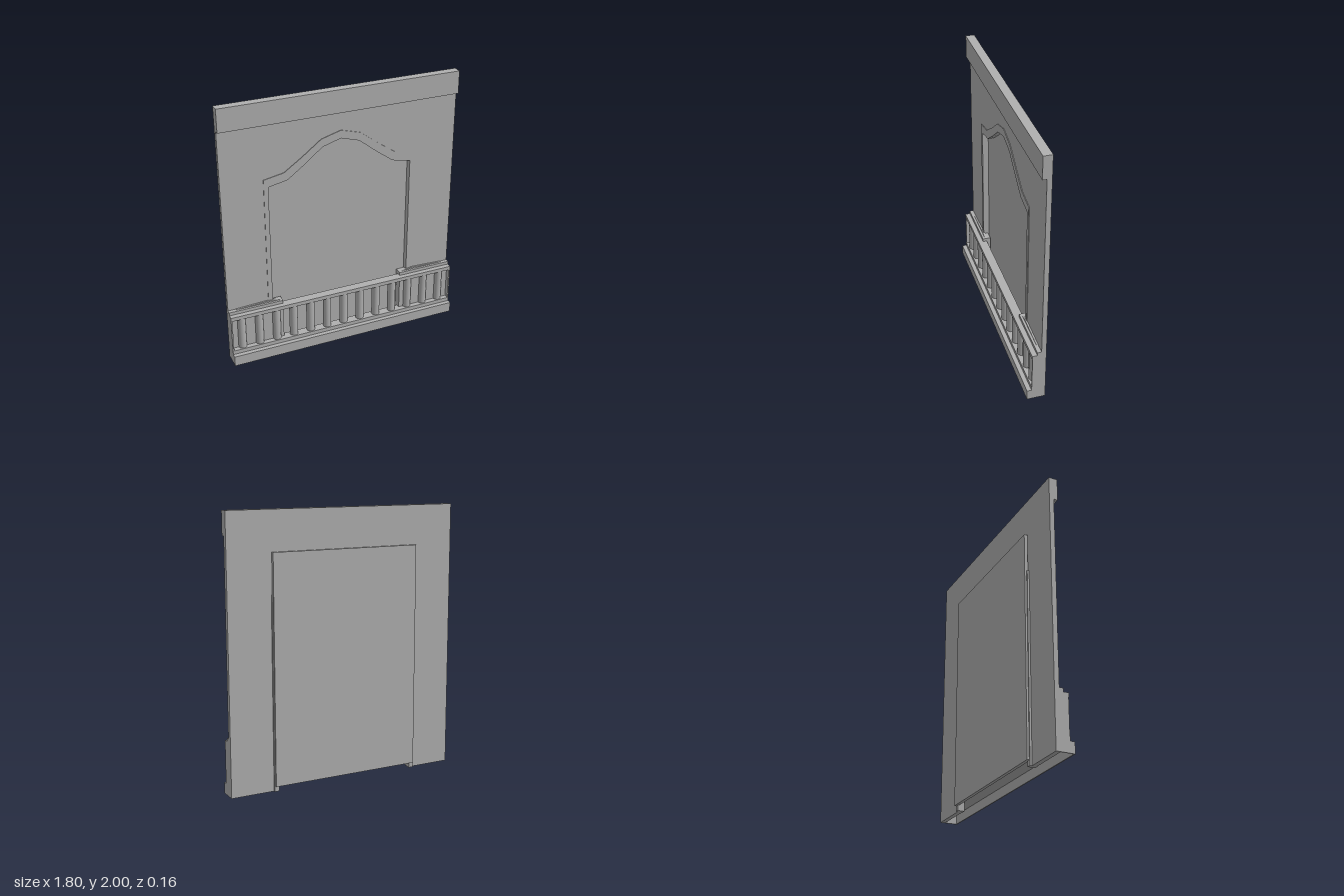
import * as THREE from 'three';

export function createModel() {
  const model = new THREE.Group();
  model.name = 'archedWallWithBalustrade';
  const stone = new THREE.MeshStandardMaterial({ color: 0xb0b0b0 });
  stone.name = 'light grey stone';

  function add(name, geometry) {
    const mesh = new THREE.Mesh(geometry, stone);
    mesh.name = name;
    model.add(mesh);
    return mesh;
  }
  // Box given by its limits on each axis
  function block(name, x0, x1, y0, y1, z0, z1) {
    add(name, new THREE.BoxGeometry(x1 - x0, y1 - y0, z1 - z0))
      .position.set((x0 + x1) / 2, (y0 + y1) / 2, (z0 + z1) / 2);
  }
  // Flat outline in x and y, extruded from z0 to z1
  function slab(name, points, z0, z1) {
    const shape = new THREE.Shape(points.map(([x, y]) => new THREE.Vector2(x, y)));
    const geometry = new THREE.ExtrudeGeometry(shape, { depth: z1 - z0, bevelEnabled: false });
    add(name, geometry.translate(0, 0, z0));
  }

  // Pointed ogee opening, from the left foot over the crown to the right foot
  const cx = -0.007;
  const half = [[0.548, 0], [0.548, 1.357], [0.405, 1.385], [0.275, 1.48], [0.14, 1.588]];
  const arch = (grow, rise) => {
    const side = half.map(([x, y]) => [x + grow * x / 0.548, y ? y + rise : 0]);
    return [
      ...side.map(([x, y]) => [cx - x, y]),
      [cx, 1.63 + rise],
      ...side.reverse().map(([x, y]) => [cx + x, y]),
    ];
  };
  const inner = arch(0, 0);
  const outer = arch(0.034, 0.06);

  // Wall with the opening, its surround and the panel closing it behind
  slab('wall', [[-0.9, 0], ...inner, [0.9, 0], [0.9, 2], [-0.9, 2]], -0.05, -0.015);
  slab('archSurround', [...outer, ...inner.slice().reverse()], -0.065, -0.0105);
  block('backPanel', -0.58, 0.57, 0.04, 1.71, -0.08, -0.055);

  // Top band
  block('topBand', -0.9, 0.9, 1.83, 2, -0.05, 0.015);

  // Plinth, hollow and open underneath
  block('plinthFront', -0.9, 0.9, 0, 0.08, 0.077, 0.085);
  block('plinthTop', -0.9, 0.9, 0.072, 0.08, -0.045, 0.08);
  for (const s of [-1, 1]) {
    block('plinthEnd', s * 0.896 - 0.004, s * 0.896 + 0.004, 0, 0.08, -0.02, 0.08);
  }

  // Low walls behind the balusters, each with a slightly sloped cap
  for (const s of [-1, 1]) {
    const end = s < 0 ? -0.485 : 0.475;
    block('lowWall', Math.min(end, s * 0.9), Math.max(end, s * 0.9), 0.08, 0.425, -0.045, 0.015);
    slab('lowWallCap', [[s * 0.84, 0.42], [s * 0.84, 0.427], [s * 0.6, 0.437],
      [s * 0.55, 0.435], [s * 0.5, 0.425], [s * 0.5, 0.42]], -0.02, -0.002);
    block('endPost', s > 0 ? 0.89 : -0.9, s > 0 ? 0.9 : -0.89, 0.08, 0.4, -0.02, 0.05);
  }

  // Balustrade
  block('lowerRail', -0.9, 0.9, 0.08, 0.11, -0.015, 0.052);
  block('upperRail', -0.9, 0.9, 0.37, 0.4, -0.015, 0.052);
  const balusterShape = new THREE.CylinderGeometry(0.031, 0.031, 0.27, 16, 1, true);
  for (let i = -6; i <= 6; i++) {
    add('baluster', balusterShape).position.set(i * 0.1355, 0.24, 0.014);
  }
  return model;
}
